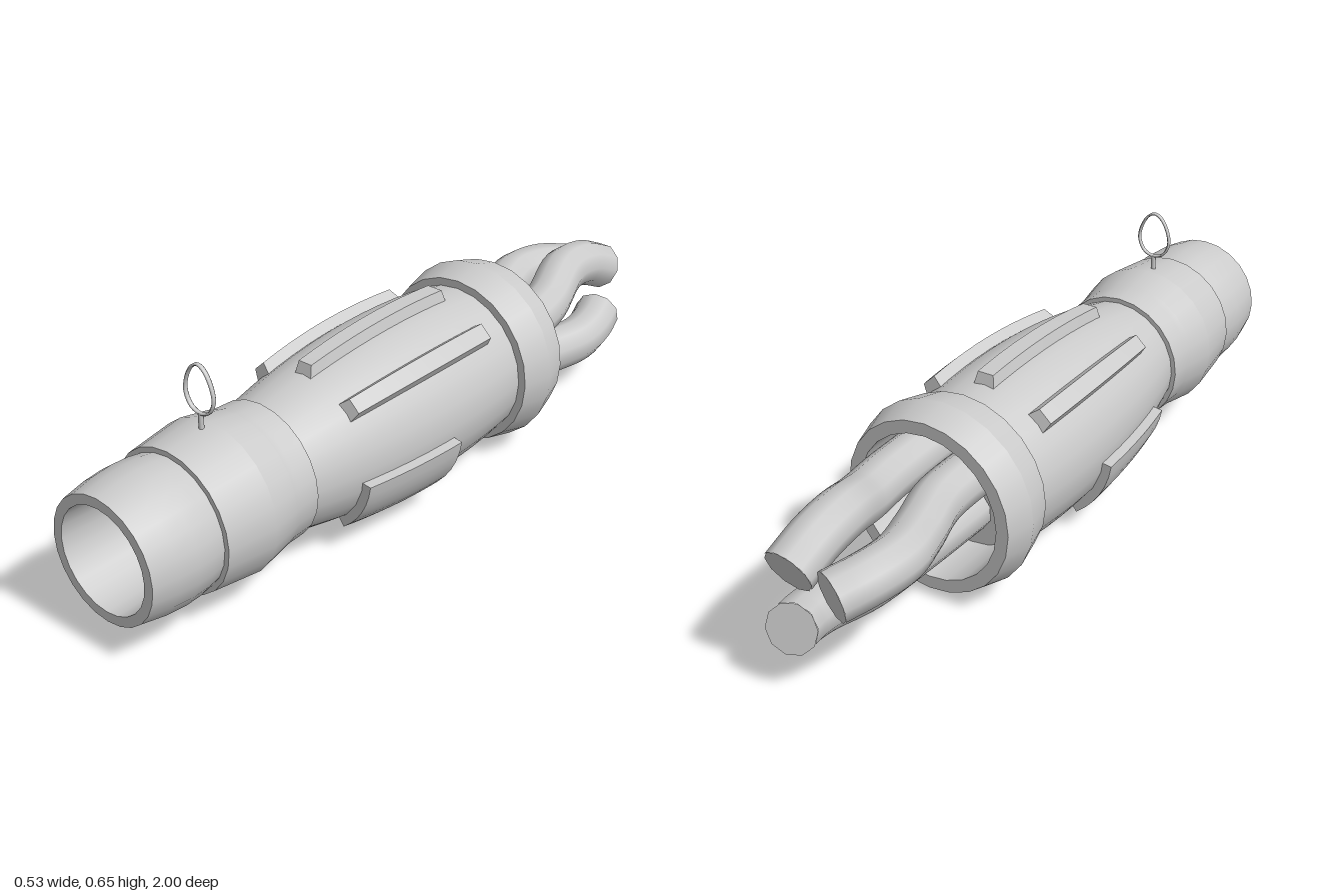
import * as THREE from 'three';

const AXIS_Y = 0.268;
const SIDES = 24;
const material = new THREE.MeshStandardMaterial({ color: 0xcccccc });
const V = (x, y, z) => new THREE.Vector3(x, y, z);

function mesh(name, geometry, parent) {
  const m = new THREE.Mesh(geometry, material);
  m.name = name;
  parent.add(m);
  return m;
}

// Barrel radius along the length
const bodyRadius = (z) => 0.24 - 0.23 * (z + 0.05) ** 2;

// Turned part along z; each run of [radius, z] points is smooth, runs meet at hard edges
function turned(name, runs, parent) {
  const part = new THREE.Group();
  part.name = name;
  for (const run of runs) {
    const points = run.map(([r, z]) => new THREE.Vector2(r, z));
    const g = new THREE.LatheGeometry(points, SIDES);
    g.rotateX(Math.PI / 2);
    mesh(name + 'Surface', g, part);
  }
  parent.add(part);
}

// Raised strip bent over the barrel: angle is clockwise from the top, taper narrows the top face
function raisedStrip(name, { angle, spread, z0, z1, height, taper = 1, slope = 0, steps = 1 }, parent) {
  const g = new THREE.BoxGeometry(1, 1, 1, steps, 1, 10);
  const p = g.attributes.position;
  for (let i = 0; i < p.count; i++) {
    const top = p.getY(i) > 0;
    const inset = top ? slope : 0;
    const z = THREE.MathUtils.lerp(z0 + inset, z1 - inset, p.getZ(i) + 0.5);
    const a = angle + p.getX(i) * spread * (top ? taper : 1);
    const r = bodyRadius(z) + (top ? height : -0.02);
    p.setXYZ(i, r * Math.sin(a), r * Math.cos(a), z);
  }
  g.computeVertexNormals();
  mesh(name, g, parent);
}

// Round cable with a flat cap on its free end
function cable(name, points, radius, parent) {
  const part = new THREE.Group();
  part.name = name;
  const curve = new THREE.CatmullRomCurve3(points.map((q) => V(...q)));
  mesh(name + 'Sheath', new THREE.TubeGeometry(curve, 28, radius, 10), part);
  const cap = mesh(name + 'End', new THREE.CircleGeometry(radius, 10), part);
  cap.position.copy(curve.getPoint(1));
  cap.quaternion.setFromUnitVectors(V(0, 0, 1), curve.getTangent(1));
  parent.add(part);
}

export function createModel() {
  const model = new THREE.Group();
  model.name = 'cableConnector';
  const shell = new THREE.Group();
  shell.name = 'shell';
  shell.position.y = AXIS_Y;
  model.add(shell);

  // Rear collar with a hollow opening for the cables
  turned('rearCollar', [
    [[0, -0.3], [0.208, -0.3]],
    [[0.208, -0.3], [0.208, -0.49]],
    [[0.208, -0.49], [0.244, -0.49]],
    [[0.244, -0.49], [0.267, -0.41]],
    [[0.267, -0.41], [0.246, -0.32]],
    [[0.246, -0.32], [0.2, -0.32]],
  ], shell);

  // Swollen barrel
  const barrel = [];
  for (let i = 0; i <= 12; i++) {
    const z = -0.32 + (i / 12) * 0.8;
    barrel.push([bodyRadius(z), z]);
  }
  turned('barrel', [barrel], shell);

  // Neck ring
  turned('neckRing', [
    [[0.17, 0.465], [0.192, 0.465]],
    [[0.192, 0.465], [0.195, 0.53], [0.2, 0.55]],
    [[0.2, 0.55], [0.215, 0.635]],
    [[0.215, 0.635], [0.197, 0.78]],
    [[0.197, 0.78], [0.17, 0.78]],
  ], shell);

  // Rounded nose with a deep socket
  turned('nose', [
    [[0.182, 0.775], [0.189, 0.82], [0.191, 0.87], [0.186, 0.93], [0.173, 1]],
    [[0.173, 1], [0.145, 1]],
    [[0.145, 1], [0.138, 0.78]],
    [[0.138, 0.78], [0, 0.78]],
  ], shell);

  // Three grip fins on top
  for (const side of [-1, 0, 1]) {
    raisedStrip('gripFin', {
      angle: side * 0.76, spread: 0.32, z0: -0.235, z1: 0.315,
      height: 0.029, taper: 0.56, slope: 0.015,
    }, shell);
  }

  // Curved plates low on both sides
  for (const side of [-1, 1]) {
    raisedStrip('sidePlate', {
      angle: side * 2.11, spread: 0.8, z0: -0.02, z1: 0.315, height: 0.025, steps: 6,
    }, shell);
  }

  // Teardrop loop on a short stem
  const loop = new THREE.CatmullRomCurve3(
    [[0, 0.519], [0.03, 0.53], [0.048, 0.565], [0.043, 0.602], [0.022, 0.64], [0, 0.652],
      [-0.022, 0.64], [-0.043, 0.602], [-0.048, 0.565], [-0.03, 0.53]]
      .map(([x, y]) => V(x, y, 0)), true);
  const ring = mesh('pullLoop', new THREE.TubeGeometry(loop, 36, 0.004, 6, true), model);
  ring.position.z = 0.665;
  ring.scale.z = 1.8;
  const stem = mesh('loopStem', new THREE.CylinderGeometry(0.007, 0.007, 0.045, 8), model);
  stem.position.set(0, 0.498, 0.665);

  // Three twisting cables
  cable('rightCable', [[-0.06, 0.335, -0.3], [-0.06, 0.33, -0.52], [-0.1, 0.33, -0.66],
    [-0.13, 0.335, -0.78], [-0.115, 0.33, -0.88], [-0.075, 0.312, -0.965]], 0.068, model);
  cable('leftCable', [[0.1, 0.35, -0.3], [0.1, 0.345, -0.52], [0.08, 0.355, -0.64],
    [0.04, 0.395, -0.78], [0.035, 0.385, -0.88], [0.04, 0.345, -0.975]], 0.068, model);
  cable('lowerCable', [[0.0, 0.17, -0.3], [0.01, 0.165, -0.52], [0.035, 0.15, -0.7],
    [0.065, 0.155, -0.83], [0.06, 0.168, -0.91], [0.04, 0.185, -0.98]], 0.068, model);

  return model;
}
